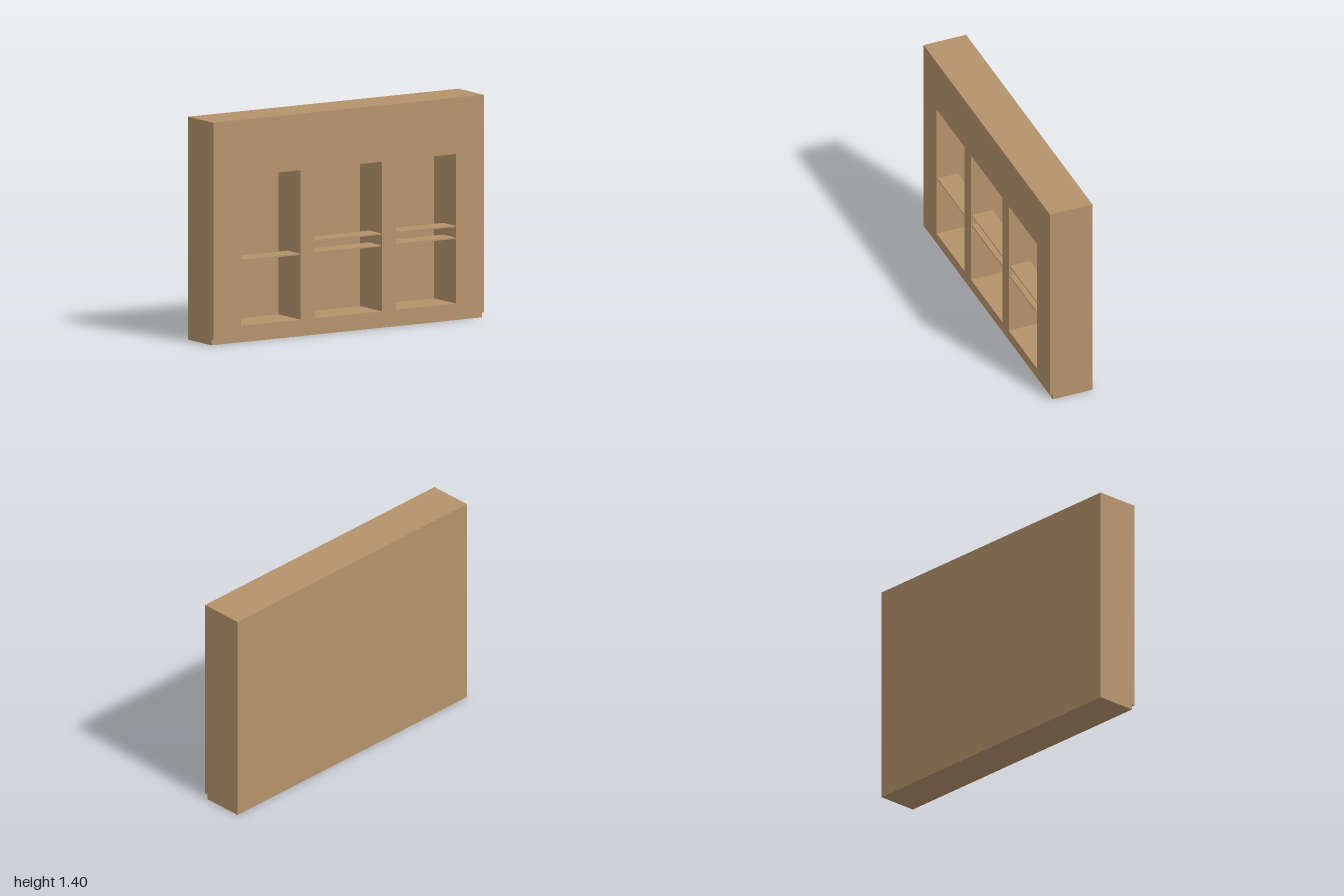
import * as THREE from 'three';

export function createModel() {
  const model = new THREE.Group();
  model.name = 'wallShelfUnit';
  const wood = new THREE.MeshStandardMaterial({ color: 0xb5926b });
  wood.name = 'light wood';

  const W = 2, H = 1.4, FRONT = 0.143, BACK = -0.143;
  const PLINTH = 0.035, NICHE_DEPTH = 0.25;
  const NICHE_BOTTOM = 0.107, NICHE_TOP = 1.046;
  const nicheBack = FRONT - NICHE_DEPTH;

  // Box given by its lower and upper corners
  function box(name, x0, x1, y0, y1, z0, z1) {
    const mesh = new THREE.Mesh(new THREE.BoxGeometry(x1 - x0, y1 - y0, z1 - z0), wood);
    mesh.position.set((x0 + x1) / 2, (y0 + y1) / 2, (z0 + z1) / 2);
    mesh.name = name;
    model.add(mesh);
  }

  function rect(target, x0, x1, y0, y1) {
    target.moveTo(x0, y0).lineTo(x1, y0).lineTo(x1, y1).lineTo(x0, y1).closePath();
    return target;
  }

  // Each niche: left edge, right edge, heights of its shelves
  const niches = [
    { x0: -0.796, x1: -0.354, shelves: [0.513] },
    { x0: -0.25, x1: 0.246, shelves: [0.513, 0.587] },
    { x0: 0.349, x1: 0.794, shelves: [0.513, 0.587] },
  ];

  // Thick body pierced by the niches
  const outline = rect(new THREE.Shape(), -W / 2, W / 2, PLINTH, H);
  for (const n of niches) {
    outline.holes.push(rect(new THREE.Path(), n.x0, n.x1, NICHE_BOTTOM, NICHE_TOP));
  }
  const body = new THREE.Mesh(
    new THREE.ExtrudeGeometry(outline, { depth: NICHE_DEPTH, bevelEnabled: false }), wood);
  body.position.z = nicheBack;
  body.name = 'body';
  model.add(body);

  // Back panel closing the niches, and the set-back plinth
  box('backPanel', -W / 2, W / 2, PLINTH, H, BACK, nicheBack);
  box('plinth', -W / 2, W / 2, 0, PLINTH, BACK, 0.122);

  // Thin shelves near the front of the niches
  for (const n of niches) {
    for (const y of n.shelves) box('shelf', n.x0, n.x1, y, y + 0.008, -0.002, 0.136);
  }
  return model;
}
